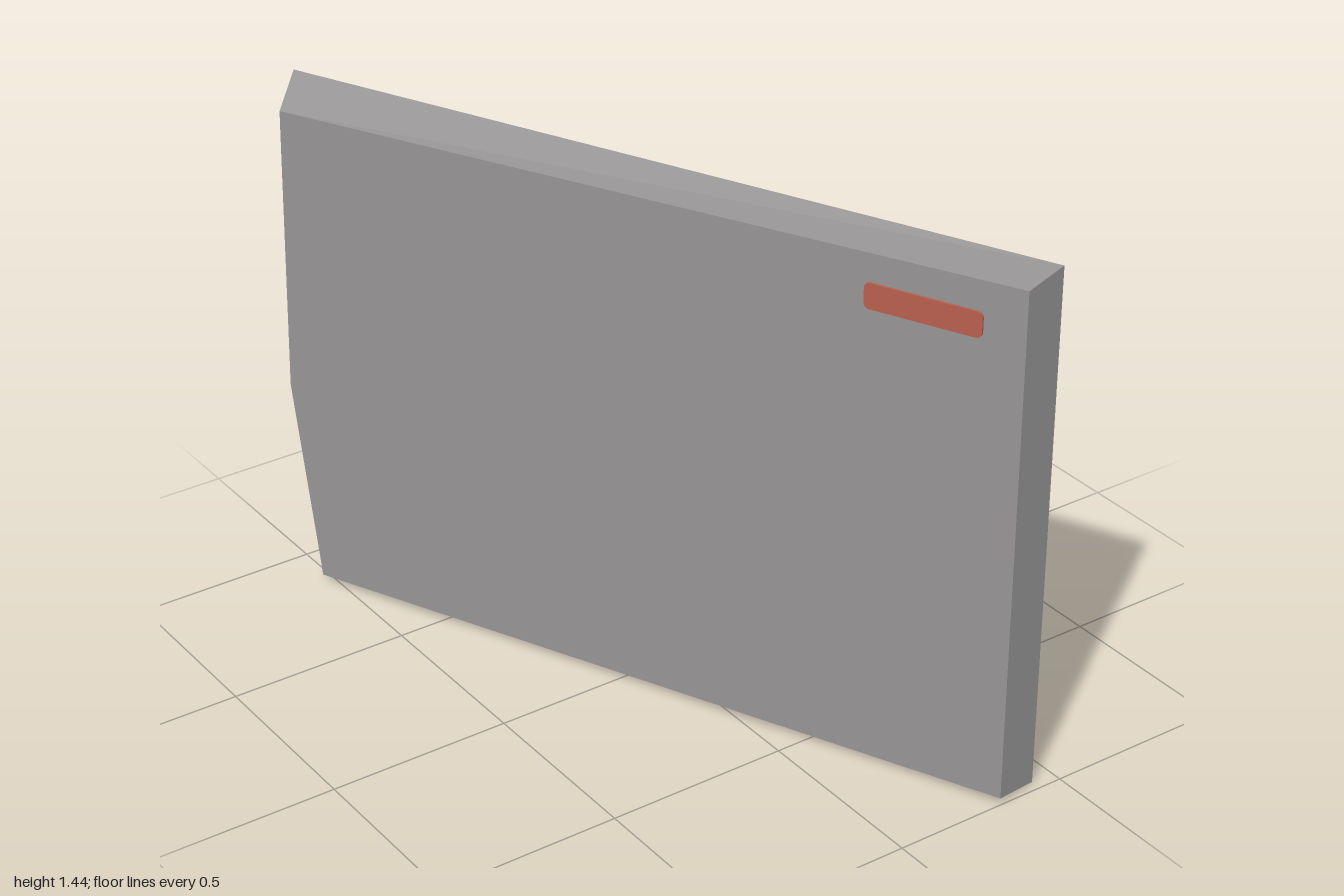
import * as THREE from 'three';

const SLOPE = 0.452; // the panel stands turned about the vertical axis
const frontZ = (x) => 0.145 - SLOPE * x;
const backZ = (x) => 0.003 - SLOPE * x;

// Solid between two matching rings; outline is counter-clockwise seen from ringB's side
function loft(ringA, ringB, outline) {
  const pos = [];
  const tri = (a, b, c) => pos.push(...a, ...b, ...c);
  ringA.forEach((a, i) => {
    const j = (i + 1) % ringA.length;
    tri(a, ringA[j], ringB[j]);
    tri(a, ringB[j], ringB[i]);
  });
  const contour = outline.map(([u, v]) => new THREE.Vector2(u, v));
  for (const [a, b, c] of THREE.ShapeUtils.triangulateShape(contour, [])) {
    tri(ringB[a], ringB[b], ringB[c]);
    tri(ringA[c], ringA[b], ringA[a]);
  }
  const g = new THREE.BufferGeometry();
  g.setAttribute('position', new THREE.Float32BufferAttribute(pos, 3));
  g.computeVertexNormals();
  return g;
}

function roundedPlate(w, h, r, depth) {
  const s = new THREE.Shape();
  const x = w / 2 - r, y = h / 2 - r;
  s.absarc(x, y, r, 0, Math.PI / 2);
  s.absarc(-x, y, r, Math.PI / 2, Math.PI);
  s.absarc(-x, -y, r, Math.PI, Math.PI * 1.5);
  s.absarc(x, -y, r, Math.PI * 1.5, Math.PI * 2);
  return new THREE.ExtrudeGeometry(s, { depth, bevelEnabled: false, curveSegments: 4 });
}

export function createModel() {
  const group = new THREE.Group();
  const grey = new THREE.MeshStandardMaterial({ color: 0x969494, flatShading: true });
  grey.name = 'grey';
  const red = new THREE.MeshStandardMaterial({ color: 0xb85f4d, flatShading: true });
  red.name = 'dull red';
  const add = (name, geometry, material) => {
    const mesh = new THREE.Mesh(geometry, material);
    mesh.name = name;
    group.add(mesh);
    return mesh;
  };

  // Outer panel with chamfered edges and a cut lower corner
  const front = [[1, 0.02], [1, 1.425], [-0.905, 1.385], [-0.92, 0.59], [-0.86, 0.07], [-0.855, 0.02]];
  const back = [[0.97, 0], [0.97, 1.44], [-1, 1.44], [-1, 0.61], [-0.935, 0.07], [-0.935, 0]];
  add('outerPanel', loft(
    back.map(([x, y]) => [x, y, backZ(x)]),
    front.map(([x, y]) => [x, y, frontZ(x)]),
    front), grey);

  // Stepped inner panel: profile as [depth level, height], ends taper at each level
  const profile = [[0, 0.09], [2, 0.26], [2, 0.44], [1, 0.44], [1, 1.25], [0, 1.32]];
  const rightEnd = [[-0.89, 0.405], [-0.855, 0.25], [-0.812, 0.045]];
  const leftEnd = [[0.855, -0.384], [0.725, -0.465], [0.54, -0.565]];
  const endRing = (end) => profile.map(([d, y]) => [end[d][0], y, end[d][1]]);
  add('innerPanel', loft(endRing(rightEnd), endRing(leftEnd), profile), grey);

  // Thin handle plate on the front face
  const handle = add('handlePlate', roundedPlate(0.307, 0.068, 0.015, 0.006), red);
  handle.position.set(0.76, 1.308, frontZ(0.76));
  handle.rotation.y = Math.atan(SLOPE);

  return group;
}
